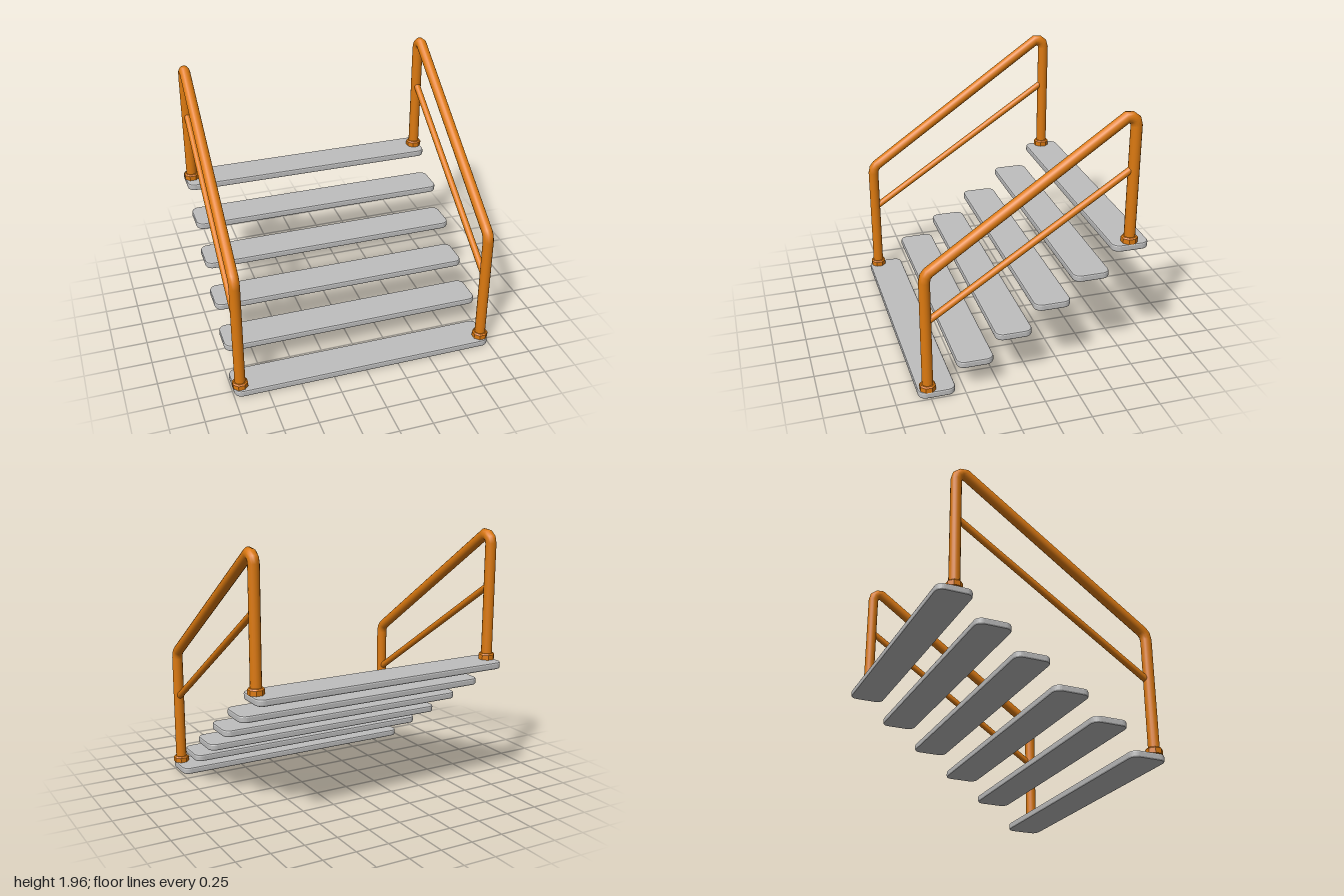
import * as THREE from 'three';

const orange = new THREE.MeshStandardMaterial({ name: 'orange railing', color: 0xdd7a10 });
const grey = new THREE.MeshStandardMaterial({ name: 'grey tread', color: 0xbebebe });
const collarOrange = orange;

// Round bar swept through [z, y] points in a vertical plane, with mitred joints
function bar(points, radius, sides = 16) {
  const pts = points.map(([z, y]) => new THREE.Vector2(z, y));
  const pos = [], index = [];
  pts.forEach((p, i) => {
    const a = p.clone().sub(pts[Math.max(i - 1, 0)]).normalize();
    const b = pts[Math.min(i + 1, pts.length - 1)].clone().sub(p).normalize();
    const t = a.clone().add(b).normalize();
    const stretch = 1 / t.dot(i ? a : b);
    for (let s = 0; s < sides; s++) {
      const ang = (s / sides) * Math.PI * 2;
      const c = Math.cos(ang) * radius, n = Math.sin(ang) * radius * stretch;
      pos.push(c, p.y + t.x * n, p.x - t.y * n);
      if (i) {
        const k = (s + 1) % sides, lo = (i - 1) * sides, hi = i * sides;
        index.push(lo + s, hi + s, lo + k, lo + k, hi + s, hi + k);
      }
    }
  });
  const g = new THREE.BufferGeometry();
  g.setAttribute('position', new THREE.Float32BufferAttribute(pos, 3));
  // Wind the faces outward
  for (let i = 0; i < index.length; i += 3) {
    [index[i + 1], index[i + 2]] = [index[i + 2], index[i + 1]];
  }
  g.setIndex(index);
  g.computeVertexNormals();
  return g;
}

// Flat plank with rounded corners and softened edges
function plank(width, depth, height) {
  const bevel = 0.012, r = 0.045;
  const x = width / 2 - bevel, y = depth / 2 - bevel;
  const s = new THREE.Shape();
  s.moveTo(-x + r, -y);
  s.lineTo(x - r, -y);
  s.absarc(x - r, -y + r, r, -Math.PI / 2, 0);
  s.absarc(x - r, y - r, r, 0, Math.PI / 2);
  s.absarc(-x + r, y - r, r, Math.PI / 2, Math.PI);
  s.absarc(-x + r, -y + r, r, Math.PI, Math.PI * 1.5);
  const g = new THREE.ExtrudeGeometry(s, {
    depth: height - 2 * bevel, bevelEnabled: true, bevelSize: bevel,
    bevelThickness: bevel, bevelSegments: 2, curveSegments: 4,
  });
  g.rotateX(-Math.PI / 2);
  g.translate(0, bevel, 0);
  return g;
}

// Eight-sided chamfered foot, closed underneath
function collarGeometry() {
  const profile = [[0, 0], [0.059, 0], [0.059, 0.036], [0.05, 0.046], [0, 0.046]];
  const g = new THREE.LatheGeometry(profile.map(([x, y]) => new THREE.Vector2(x, y)), 8);
  g.rotateY(Math.PI / 8);
  const flat = g.toNonIndexed();
  flat.computeVertexNormals();
  return flat;
}

export function createModel() {
  const model = new THREE.Group();
  const add = (parent, name, geometry, material, x = 0, y = 0, z = 0) => {
    const mesh = new THREE.Mesh(geometry, material);
    mesh.name = name;
    mesh.position.set(x, y, z);
    parent.add(mesh);
  };

  // Six floating treads climbing towards the back
  const tread = plank(1.985, 0.268, 0.052);
  [0, 0.2, 0.375, 0.565, 0.75, 0.943].forEach((y, i) => {
    add(model, `tread${i + 1}`, tread, grey, 0, y, 0.7 - i * 0.28);
  });

  // A handrail on each side
  const frontZ = 0.763, backZ = -0.697;
  const rail = bar([
    [frontZ, 0.05], [frontZ, 0.905], [0.754, 0.945], [0.733, 0.972], [0.7, 0.995],
    [-0.625, 1.915], [-0.66, 1.912], [-0.687, 1.891], [backZ, 1.855], [backZ, 0.99],
  ], 0.04);
  const midRail = bar([[0.75, 0.597], [-0.68, 1.541]], 0.025);
  const collar = collarGeometry();
  for (const side of [1, -1]) {
    const railing = new THREE.Group();
    railing.name = side > 0 ? 'leftRailing' : 'rightRailing';
    railing.position.x = side * 0.943;
    add(railing, 'handrail', rail, orange);
    add(railing, 'midRail', midRail, orange);
    add(railing, 'frontCollar', collar, collarOrange, 0, 0.052, frontZ);
    add(railing, 'backCollar', collar, collarOrange, 0, 0.995, backZ);
    model.add(railing);
  }
  return model;
}
